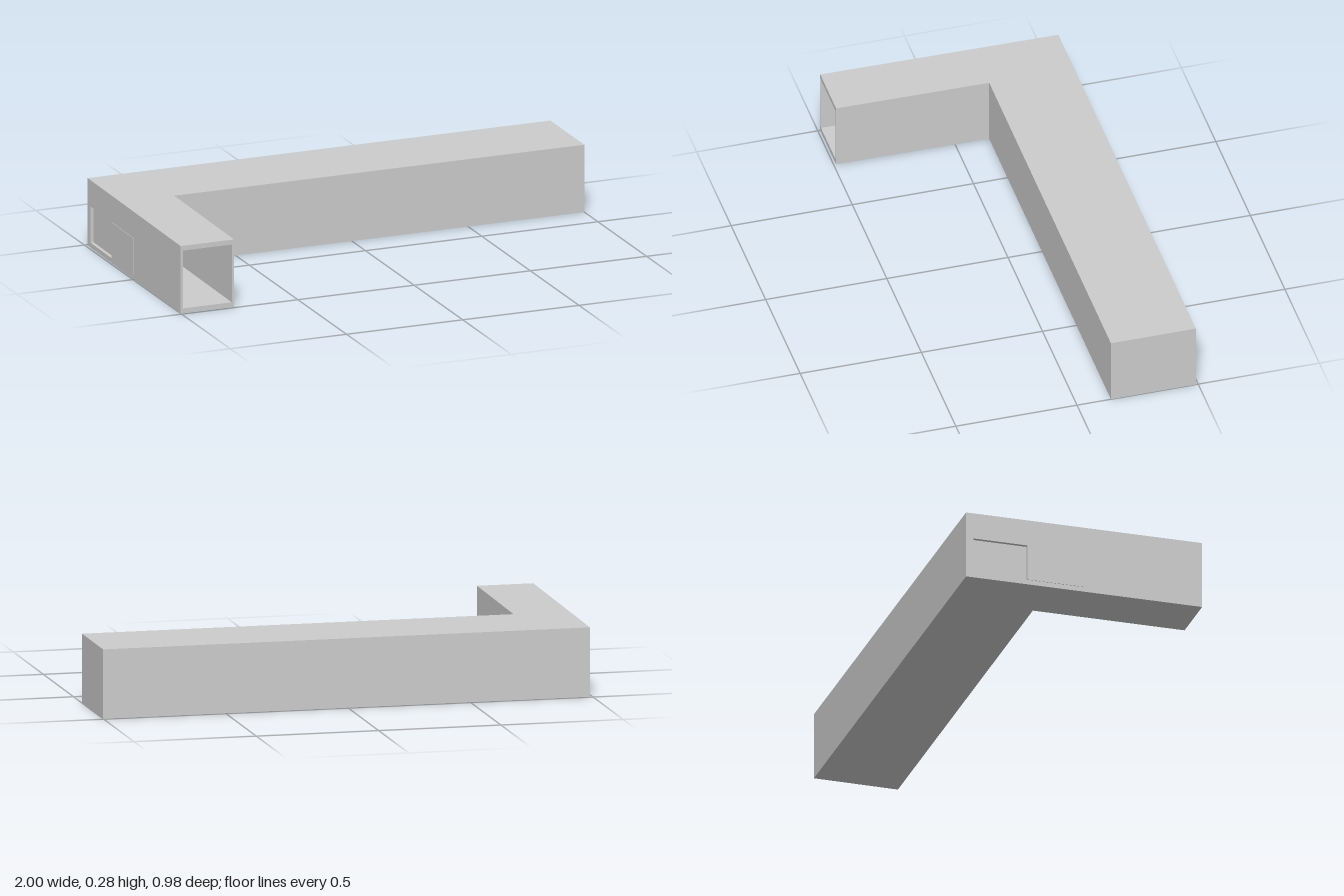
import * as THREE from 'three';

const H = 0.28, SLAB = 0.02, WALL = 0.01;
const TILT = -0.0102; // the short wing is very slightly splayed

export function createModel() {
  const model = new THREE.Group();
  const material = new THREE.MeshStandardMaterial({ color: 0xcccccc, flatShading: true });

  const add = (parent, geometry, name) => {
    const mesh = new THREE.Mesh(geometry, material);
    mesh.name = name;
    parent.add(mesh);
    return mesh;
  };
  const shapeOf = (points) => new THREE.Shape(points.map(([a, b]) => new THREE.Vector2(a, b)));

  // Raises a plan outline, given as x and z, from y0 to y1
  const raise = (plan, y0, y1) =>
    new THREE.ExtrudeGeometry(shapeOf(plan.map(([x, z]) => [x, -z])), { depth: y1 - y0, bevelEnabled: false })
      .rotateX(-Math.PI / 2)
      .translate(0, y0, 0);

  // Floor and roof share the L-shaped plan
  const plan = [[-1, 0.49], [-0.77, 0.49], [-0.764, -0.14], [1, -0.14], [1, -0.49], [-0.99, -0.49]];
  add(model, raise(plan, 0, SLAB), 'floor');
  add(model, raise(plan, H - SLAB, H), 'roof');

  // Thin walls around the hollow inside, open at the front of the short wing
  const walls = [
    [-0.77, 0.49], [-0.764, -0.14], [1, -0.14], [1, -0.49], [-0.99, -0.49],
    [-0.99, -0.49 + WALL], [1 - WALL, -0.49 + WALL], [1 - WALL, -0.14 - WALL],
    [-0.764 - WALL, -0.14 - WALL], [-0.77 - WALL, 0.49],
  ];
  add(model, raise(walls, SLAB, H - SLAB), 'walls');

  // Outer side of the short wing, with a doorway notched from its bottom edge
  const side = new THREE.Group();
  side.name = 'sideWall';
  side.position.x = -0.985;
  side.rotation.y = TILT;
  model.add(side);

  const door = { back: -0.46, front: -0.235, top: 0.17 };
  const outline = shapeOf([
    [-0.49, SLAB], [door.back, SLAB], [door.back, door.top], [door.front, door.top],
    [door.front, SLAB], [0.49, SLAB], [0.49, H - SLAB], [-0.49, H - SLAB],
  ]);
  add(side, new THREE.ExtrudeGeometry(outline, { depth: WALL, bevelEnabled: false }).rotateY(-Math.PI / 2), 'sidePanel');

  // Shallow closed recess behind the doorway
  const doorHeight = door.top - SLAB, doorWidth = door.front - door.back;
  add(side, new THREE.BoxGeometry(0.025, doorHeight, doorWidth), 'doorBack')
    .position.set(0.016, SLAB + doorHeight / 2, (door.back + door.front) / 2);

  // Leaf lying flat against the wall beside the doorway
  add(side, new THREE.BoxGeometry(0.004, doorHeight, -door.front), 'doorLeaf')
    .position.set(-WALL, SLAB + doorHeight / 2, door.front / 2);

  return model;
}
